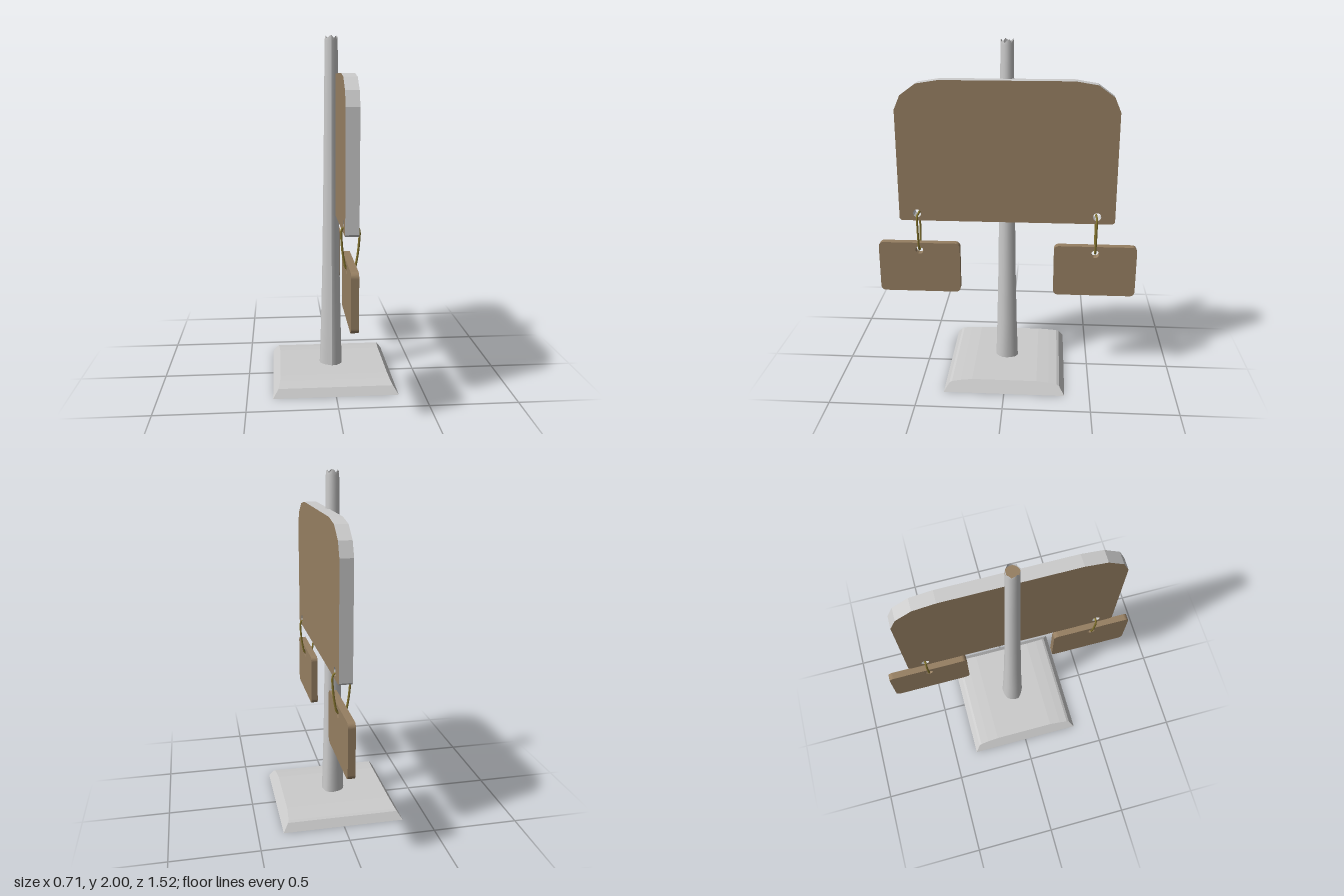
import * as THREE from 'three';

const grey = new THREE.MeshStandardMaterial({ color: 0xcccccc });
const wood = new THREE.MeshStandardMaterial({ color: 0x967f62 });
const ropeMat = new THREE.MeshStandardMaterial({ color: 0x85752f });
const barkMat = new THREE.MeshStandardMaterial({ color: 0xcccccc, side: THREE.DoubleSide });

function add(parent, name, geometry, material) {
  const mesh = new THREE.Mesh(geometry, material);
  mesh.name = name;
  parent.add(mesh);
  return mesh;
}

// Extrudes a (z, y) outline along x, centred on x = 0
function slab(shape, thickness) {
  const g = new THREE.ExtrudeGeometry(shape, { depth: thickness, bevelEnabled: false, curveSegments: 5 });
  return g.translate(0, 0, -thickness / 2).rotateY(-Math.PI / 2);
}

function punch(shape, z, y, r) {
  shape.holes.push(new THREE.Path().absarc(z, y, r, 0, Math.PI * 2, true));
}

// Mirrors the right half of an outline to close it
function mirrored(half) {
  const all = [...half, ...half.map(([z, y]) => [-z, y]).reverse()];
  return new THREE.Shape(all.map(([z, y]) => new THREE.Vector2(z, y)));
}

function roundedRect(z0, z1, y0, y1, r) {
  const s = new THREE.Shape();
  s.absarc(z1 - r, y0 + r, r, -Math.PI / 2, 0);
  s.absarc(z1 - r, y1 - r, r, 0, Math.PI / 2);
  s.absarc(z0 + r, y1 - r, r, Math.PI / 2, Math.PI);
  s.absarc(z0 + r, y0 + r, r, Math.PI, Math.PI * 1.5);
  s.closePath();
  return s;
}

// Domed base whose two ends lean inwards
function baseGeometry() {
  const shape = mirrored([[0.355, 0], [0.325, 0.045], [0.31, 0.053], [0.26, 0.06], [0.19, 0.066]]);
  const g = slab(shape, 0.71);
  const p = g.attributes.position;
  for (let i = 0; i < p.count; i++) {
    p.setX(i, Math.sign(p.getX(i)) * (0.355 - 0.66 * p.getY(i)));
  }
  g.computeVertexNormals();
  return g;
}

// Tapered, slightly uneven trunk with a broken rim
function postGeometry() {
  const sides = 16;
  const rings = [[0.05, 0.068], [0.3, 0.06], [0.65, 0.052], [1.1, 0.046], [1.55, 0.041], [1.97, 0.037], [2, 0.035]];
  const g = new THREE.CylinderGeometry(1, 1, 1, sides, rings.length - 1, true);
  const p = g.attributes.position;
  const rim = [0, -0.016, -0.004, -0.02, -0.008, 0, -0.018, -0.006];
  for (let i = 0; i < p.count; i++) {
    const col = (i % (sides + 1)) % sides;
    const row = rings.length - 1 - Math.floor(i / (sides + 1));
    const a = (col / sides) * Math.PI * 2;
    const [y, r] = rings[row];
    const rough = 1 + (0.05 * Math.sin(3 * a + row * 0.4) + 0.03 * Math.sin(5 * a + 1)) * (1 - y * 0.3);
    const drop = row === rings.length - 1 ? rim[col % rim.length] : 0;
    p.setXYZ(i, Math.sin(a) * r * rough - 0.003, y + drop, Math.cos(a) * r * rough);
  }
  g.computeVertexNormals();
  return g;
}

export function createModel() {
  const model = new THREE.Group();
  model.name = 'signpost';

  add(model, 'base', baseGeometry(), grey);
  add(model, 'post', postGeometry(), barkMat);
  // Bare wood inside the broken top
  const core = add(model, 'postCore', new THREE.CircleGeometry(0.037, 16).rotateX(-Math.PI / 2), wood);
  core.position.set(-0.003, 1.972, 0);

  // Main board: wooden faces, grey edges
  const board = mirrored([
    [0.608, 0.98], [0.62, 0.992], [0.62, 1.625], [0.585, 1.705], [0.495, 1.77], [0.37, 1.79],
  ]);
  for (const s of [1, -1]) punch(board, s * 0.517, 1.023, 0.024);
  add(model, 'mainBoard', slab(board, 0.072), [wood, grey]).position.x = 0.056;

  // Hanging plaques with their rope loops
  for (const s of [1, -1]) {
    const side = s > 0 ? 'front' : 'back';
    const plaque = roundedRect(s * 0.518 - 0.241, s * 0.518 + 0.241, 0.52, 0.832, 0.028);
    punch(plaque, s * 0.517, 0.786, 0.024);
    add(model, side + 'Plaque', slab(plaque, 0.04), wood).position.x = 0.056;

    const loop = [
      [0, 1.008], [0.036, 1.01], [0.046, 0.995], [0.045, 0.93], [0.034, 0.84], [0.022, 0.795], [0, 0.785],
      [-0.022, 0.795], [-0.034, 0.84], [-0.045, 0.93], [-0.046, 0.995], [-0.036, 1.01],
    ].map(([x, y]) => new THREE.Vector3(x + 0.057, y, s * 0.517));
    const curve = new THREE.CatmullRomCurve3(loop, true);
    add(model, side + 'Rope', new THREE.TubeGeometry(curve, 48, 0.006, 8, true), ropeMat);
  }
  return model;
}
